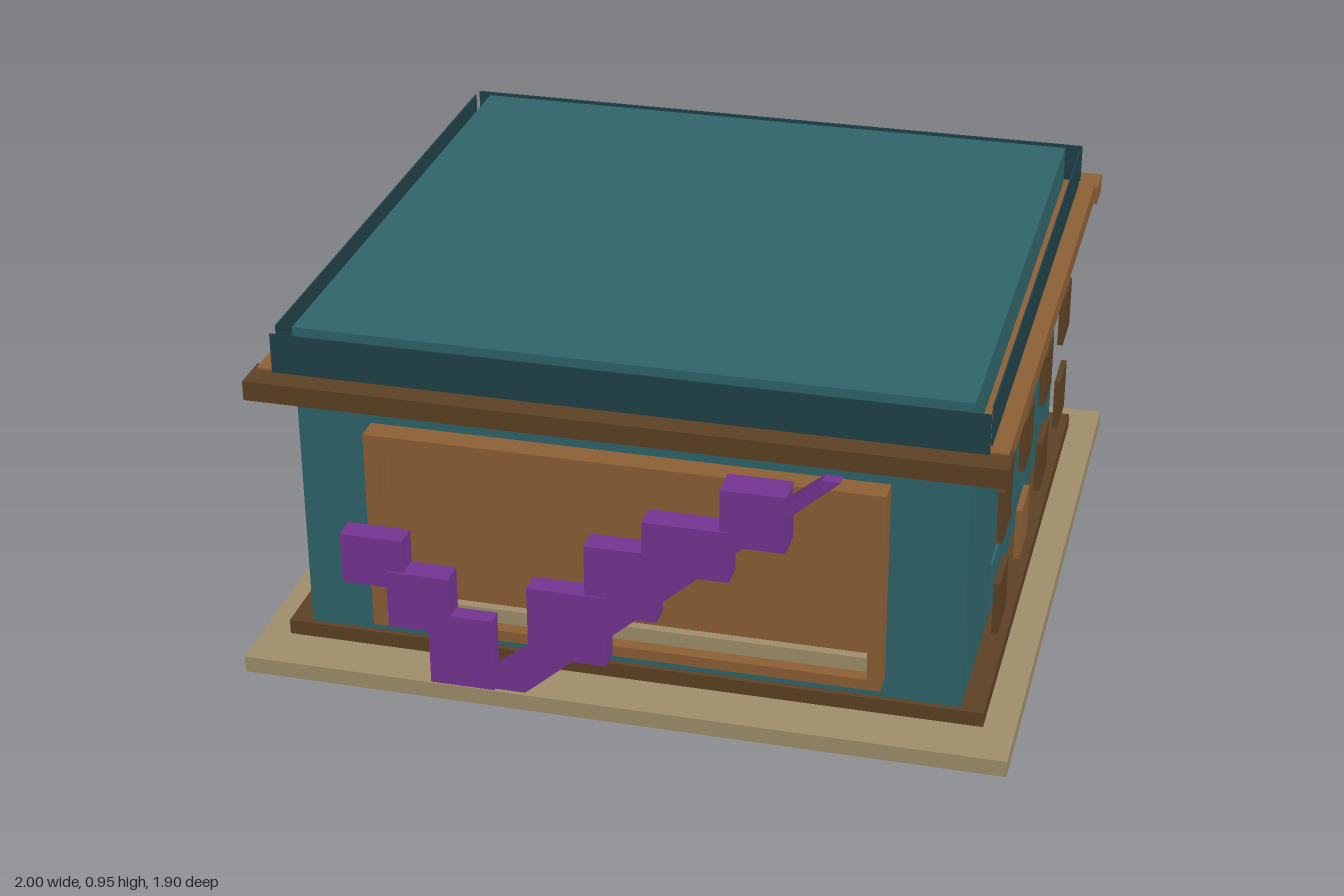
import * as THREE from 'three';

const mat = (name, color) => {
  const m = new THREE.MeshStandardMaterial({ color });
  m.name = name;
  return m;
};

export function createModel() {
  const model = new THREE.Group();
  model.name = 'building';
  const teal = mat('teal wall', 0x2f656b);
  const darkTeal = mat('dark teal', 0x204249);
  const wood = mat('wood', 0x8e6036);
  const darkWood = mat('dark wood', 0x5d4123);
  const sand = mat('sand', 0xa08f6b);
  const purple = mat('purple', 0x763594);

  // Box given by its lower and upper limits on each axis
  const box = (name, m, x0, x1, y0, y1, z0, z1) => {
    const mesh = new THREE.Mesh(new THREE.BoxGeometry(x1 - x0, y1 - y0, z1 - z0), m);
    mesh.position.set((x0 + x1) / 2, (y0 + y1) / 2, (z0 + z1) / 2);
    mesh.name = name;
    model.add(mesh);
    return mesh;
  };
  // Same box on both sides of the building
  const pair = (name, m, x0, x1, ...rest) => {
    box(name + 'Left', m, x0, x1, ...rest);
    box(name + 'Right', m, -x1, -x0, ...rest);
  };

  // Ground slab, walls and skirting
  box('slab', sand, -1, 1, 0, 0.045, -0.955, 0.95);
  box('walls', teal, -0.86, 0.86, 0.045, 0.95, -0.815, 0.81);
  box('skirting', darkWood, -0.92, 0.92, 0.053, 0.093, -0.825, 0.825);

  // Cornice
  box('frontCornice', darkWood, -0.96, 0.96, 0.785, 0.837, 0.81, 0.913);
  box('backCornice', wood, -0.96, 0.96, 0.785, 0.837, -0.915, -0.815);
  pair('sideCornice', wood, 0.86, 0.95, 0.786, 0.841, -0.84, 0.84);

  // Thin parapet sheets standing just off the walls
  box('frontParapet', darkTeal, -0.905, 0.905, 0.838, 0.945, 0.846, 0.85);
  box('backParapet', darkTeal, -0.905, 0.905, 0.838, 0.945, -0.854, -0.85);
  pair('sideParapet', darkTeal, 0.901, 0.905, 0.841, 0.95, -0.81, 0.81);

  // Side windows, with one lighter shutter, and flush hatches
  for (const side of [1, -1]) {
    for (const [row, y] of [0.288, 0.552].entries()) {
      for (const [col, z] of [0.57, 0.188, -0.19, -0.573].entries()) {
        const light = side === 1 && row === 0 && col === 1;
        const x = side * 0.9125;
        box('window', light ? wood : darkWood, x - 0.008, x + 0.008,
          y - 0.073, y + 0.073, z - 0.072, z + 0.072);
      }
    }
  }
  for (const z of [0.315, -0.258]) pair('hatch', teal, 0.86, 0.866, 0.115, 0.26, z - 0.062, z + 0.062);

  // Framed panel on the front
  box('frontPanel', wood, -0.63, 0.63, 0.185, 0.67, 0.81, 0.816);
  box('frameTop', wood, -0.665, 0.665, 0.67, 0.705, 0.81, 0.875);
  box('frameBottom', wood, -0.665, 0.665, 0.15, 0.18, 0.81, 0.875);
  pair('frameSide', wood, 0.63, 0.665, 0.18, 0.67, 0.81, 0.875);
  box('panelSill', sand, -0.63, 0.63, 0.18, 0.22, 0.81, 0.84);

  // Stepped zigzag sculpture: x0, x1, y0, y1, back z, front z
  const steps = [
    [-0.715, -0.55, 0.31, 0.45, 0.88, 0.944],
    [-0.595, -0.43, 0.2, 0.36, 0.885, 0.95],
    [-0.49, -0.32, 0.045, 0.25, 0.9, 0.946],
    [-0.225, -0.02, 0.165, 0.365, 0.89, 0.95],
    [-0.075, 0.11, 0.31, 0.505, 0.88, 0.945],
    [0.075, 0.295, 0.455, 0.595, 0.88, 0.949],
    [0.27, 0.435, 0.555, 0.71, 0.86, 0.946],
  ];
  for (const s of steps) box('sculptureBlock', purple, ...s);

  // Tapering diagonal rail through the blocks
  const rail = new THREE.Shape([
    [-0.4, 0.046], [-0.24, 0.046], [0.07, 0.32], [0.565, 0.765], [0.52, 0.765], [0.43, 0.69],
  ].map(([x, y]) => new THREE.Vector2(x, y)));
  const railMesh = new THREE.Mesh(
    new THREE.ExtrudeGeometry(rail, { depth: 0.035, bevelEnabled: false }), purple);
  railMesh.position.z = 0.905;
  railMesh.name = 'sculptureRail';
  model.add(railMesh);

  // Back porch box
  box('backDoor', darkWood, 0.06, 0.31, 0.045, 0.315, -0.95, -0.835);

  return model;
}
